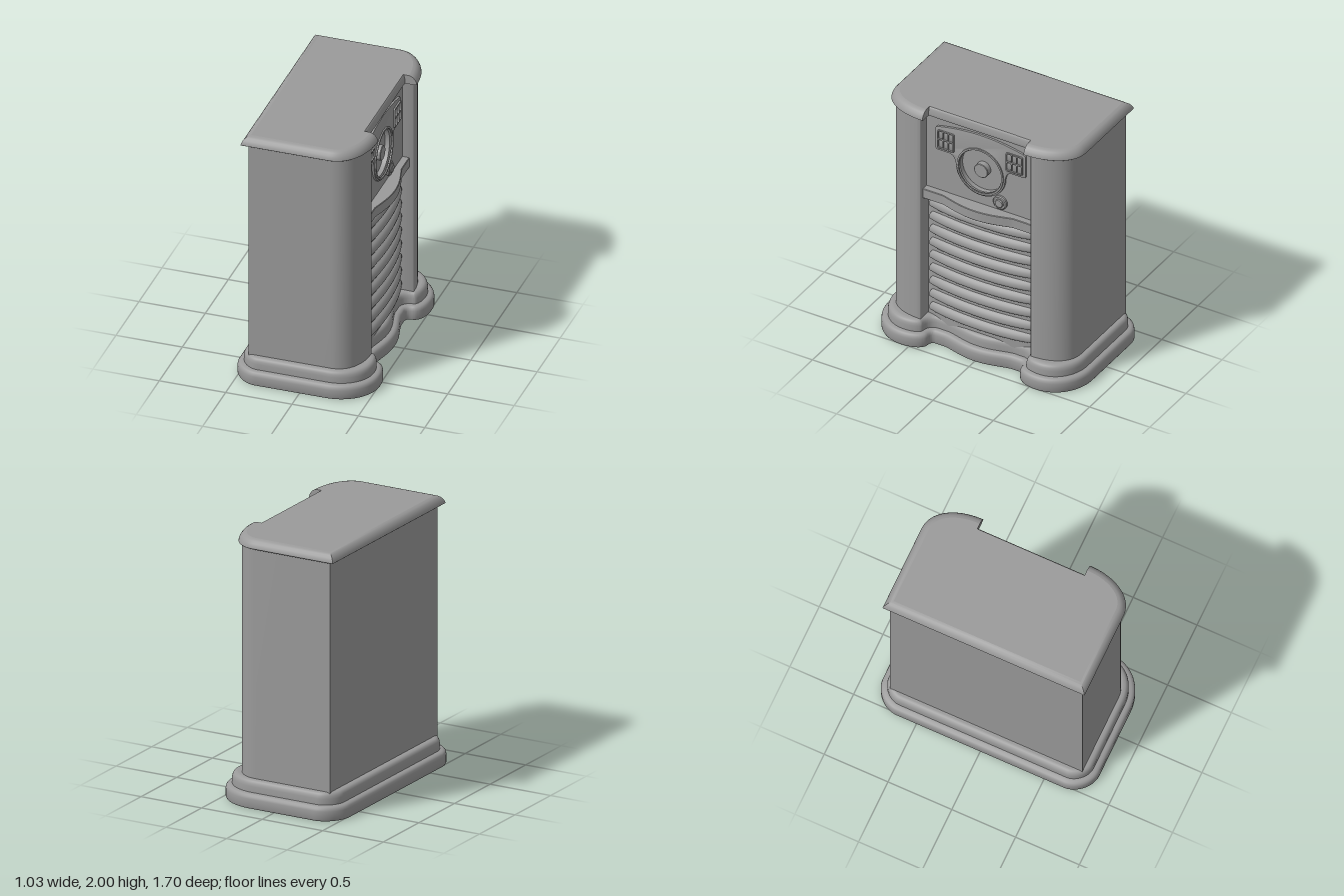
import * as THREE from 'three';
import { mergeGeometries, toCreasedNormals } from 'three/addons/utils/BufferGeometryUtils.js';

const material = new THREE.MeshStandardMaterial({ color: 0x9a9a9a });

function add(parent, name, geometry, x = 0, y = 0, z = 0) {
  const mesh = new THREE.Mesh(geometry, material);
  mesh.name = name;
  mesh.position.set(x, y, z);
  parent.add(mesh);
}

// Sampled path joined to its mirror image
function mirrored(path, flip) {
  const half = path.getPoints(20).filter((p, i, all) => i === 0 || p.distanceTo(all[i - 1]) > 1e-5);
  return half.concat(half.slice(1, -1).reverse().map(flip));
}

// Floor outline drawn from front centre to back centre, mirrored across z = 0
function plan(draw) {
  const path = new THREE.Path();
  draw(path);
  return mirrored(path, p => new THREE.Vector2(p.x, -p.y));
}

// Mitred outline offset; positive grows the outline
function offset(points, d, adjust) {
  const n = points.length;
  const normal = (a, b) => new THREE.Vector2(b.y - a.y, a.x - b.x).normalize();
  return points.map((p, i) => {
    const n1 = normal(points[(i + n - 1) % n], p);
    const n2 = normal(p, points[(i + 1) % n]);
    const q = n1.clone().add(n2).multiplyScalar(d / (1 + n1.dot(n2))).add(p);
    if (adjust) adjust(p, q);
    return q;
  });
}

// Stack of outlines, each layer being [height, offset], closed by flat caps
function loft(points, layers, adjust) {
  const n = points.length, rings = layers.map(([, d]) => offset(points, d, adjust));
  const at = (k, i) => [rings[k][i].x, layers[k][0], -rings[k][i].y];
  const sides = [], caps = [], last = rings.length - 1;
  for (let k = 0; k < last; k++) {
    for (let i = 0; i < n; i++) {
      const j = (i + 1) % n;
      sides.push(...at(k, i), ...at(k, j), ...at(k + 1, j), ...at(k, i), ...at(k + 1, j), ...at(k + 1, i));
    }
  }
  THREE.ShapeUtils.triangulateShape(rings[0], []).forEach(([a, b, c]) => caps.push(...at(0, a), ...at(0, c), ...at(0, b)));
  THREE.ShapeUtils.triangulateShape(rings[last], []).forEach(([a, b, c]) => caps.push(...at(last, a), ...at(last, b), ...at(last, c)));
  const build = positions => {
    const g = new THREE.BufferGeometry();
    return g.setAttribute('position', new THREE.Float32BufferAttribute(positions, 3));
  };
  const flat = build(caps);
  flat.computeVertexNormals();
  return mergeGeometries([toCreasedNormals(build(sides), 0.7), flat]);
}

function roundedRect(Type, cx, cy, w, h, r) {
  const s = new Type(), x = w / 2 - r, y = h / 2 - r;
  s.absarc(cx + x, cy + y, r, 0, Math.PI / 2);
  s.absarc(cx - x, cy + y, r, Math.PI / 2, Math.PI);
  s.absarc(cx - x, cy - y, r, Math.PI, Math.PI * 1.5);
  s.absarc(cx + x, cy - y, r, Math.PI * 1.5, Math.PI * 2);
  s.closePath();
  return s;
}

const circleHole = (x, y, r) => new THREE.Path().absarc(x, y, r, 0, Math.PI * 2, true);

function extrude(shape, depth, bevel = 0) {
  return toCreasedNormals(new THREE.ExtrudeGeometry(shape, {
    depth, curveSegments: 24, bevelEnabled: bevel > 0,
    bevelSize: bevel, bevelThickness: bevel, bevelOffset: -bevel, bevelSegments: 2,
  }), 0.6);
}

// Turned piece with its axis along z
function turned(profile) {
  const g = new THREE.LatheGeometry(profile.map(p => new THREE.Vector2(...p)), 40);
  return toCreasedNormals(g.rotateX(Math.PI / 2), 0.6);
}

function cabinet(group) {
  // Two-step plinth with a swelling front and a lobe under each column
  const basePlan = plan(p => {
    p.moveTo(0.43, 0);
    p.bezierCurveTo(0.43, 0.12, 0.39, 0.2, 0.38, 0.28);
    p.lineTo(0.38, 0.345);
    p.bezierCurveTo(0.38, 0.375, 0.395, 0.385, 0.425, 0.387);
    p.bezierCurveTo(0.475, 0.39, 0.515, 0.46, 0.515, 0.56);
    p.bezierCurveTo(0.515, 0.73, 0.37, 0.849, 0.2, 0.849);
    p.lineTo(-0.33, 0.849);
    p.bezierCurveTo(-0.43, 0.849, -0.52, 0.75, -0.52, 0.655);
    p.lineTo(-0.52, 0);
  });
  add(group, 'base', loft(basePlan, [
    [0, -0.014], [0.004, -0.005], [0.014, 0], [0.075, 0], [0.092, -0.004], [0.103, -0.013], [0.109, -0.026], [0.111, -0.046],
    [0.155, -0.046], [0.175, -0.05], [0.19, -0.058], [0.198, -0.07], [0.2, -0.085],
  ]));

  // Body with rounded front columns and a recessed front
  const bodyPlan = plan(p => {
    p.moveTo(0.26, 0);
    p.lineTo(0.26, 0.455);
    p.lineTo(0.403, 0.455);
    p.quadraticCurveTo(0.412, 0.456, 0.413, 0.466);
    p.bezierCurveTo(0.412, 0.63, 0.34, 0.754, 0.2, 0.754);
    p.lineTo(-0.415, 0.754);
    p.lineTo(-0.415, 0);
  });
  add(group, 'body', loft(bodyPlan, [[0.15, 0], [1.94, 0]]));

  // Top board with a rounded edge and a nearly upright notch in front
  const topPlan = plan(p => {
    p.moveTo(0.36, 0);
    p.lineTo(0.36, 0.42);
    p.lineTo(0.448, 0.42);
    p.bezierCurveTo(0.448, 0.63, 0.35, 0.792, 0.2, 0.792);
    p.lineTo(-0.46, 0.792);
    p.lineTo(-0.46, 0);
  });
  const steepNotch = (p, q) => {
    if (p.x > 0 && Math.abs(p.y) < 0.425) q.y = p.y;
    if (p.x > 0 && p.x < 0.37 && Math.abs(p.y) < 0.425) q.x = p.x + (q.x - p.x) * 0.25;
  };
  add(group, 'top', loft(topPlan, [
    [1.93, -0.008], [1.936, 0], [1.95, -0.003], [1.97, -0.013], [1.986, -0.027], [1.996, -0.043], [2, -0.06],
  ], steepNotch));

  // Shelf between panel and grille
  const shelfPlan = plan(p => {
    p.moveTo(0.435, 0);
    p.bezierCurveTo(0.435, 0.12, 0.4, 0.21, 0.38, 0.29);
    p.lineTo(0.38, 0.46);
    p.lineTo(0.25, 0.46);
    p.lineTo(0.25, 0);
  });
  add(group, 'shelf', loft(shelfPlan, [[1.22, -0.004], [1.224, 0], [1.296, 0], [1.3, -0.004]]));
}

function grille(group) {
  const wall = end => plan(p => {
    p.moveTo(0.35, 0);
    p.bezierCurveTo(0.35, 0.15, 0.335, 0.3, 0.305, end);
    p.lineTo(0.25, end);
    p.lineTo(0.25, 0);
  });
  add(group, 'grilleBack', loft(wall(0.455), [[0.15, 0], [1.23, 0]]));
  // Bowed louvres, fullest near the lower edge
  const louvre = loft(wall(0.4), [
    [0, 0], [0.002, 0.024], [0.009, 0.031], [0.022, 0.034], [0.04, 0.032], [0.055, 0.025], [0.066, 0.015], [0.075, 0.001],
  ]);
  for (let i = 0; i < 9; i++) add(group, 'louvre', louvre, 0, 0.24 + i * 0.111, 0);
}

function controls(group) {
  // Built facing z, then turned to face the open side
  const front = new THREE.Group();
  front.name = 'controlPanel';
  front.rotation.y = Math.PI / 2;
  front.position.x = -0.018;
  group.add(front);
  const dialY = 1.585;

  // Panel with the dial opening
  const panel = roundedRect(THREE.Shape, 0, 1.605, 0.91, 0.66, 0.001);
  panel.holes.push(circleHole(0, dialY, 0.178));
  add(front, 'panel', extrude(panel, 0.085), 0, 0, 0.26);

  // Raised plate: arched top, two ears and a round lower lobe
  const half = new THREE.Path();
  half.moveTo(0, 1.895);
  half.quadraticCurveTo(0.18, 1.893, 0.355, 1.85);
  half.quadraticCurveTo(0.375, 1.845, 0.375, 1.825);
  half.lineTo(0.375, 1.675);
  half.quadraticCurveTo(0.375, 1.65, 0.35, 1.65);
  half.lineTo(0.26, 1.65);
  half.quadraticCurveTo(0.218, 1.65, 0.205, dialY);
  half.absarc(0, dialY, 0.205, 0, -Math.PI / 2, true);
  const plate = new THREE.Shape(mirrored(half, p => new THREE.Vector2(-p.x, p.y)));
  plate.holes.push(circleHole(0, dialY, 0.178));
  add(front, 'plate', extrude(plate, 0.012, 0.004), 0, 0, 0.345);

  // Dial: rim, sunken face and centre hub
  const rim = new THREE.Shape().absarc(0, 0, 0.193, 0, Math.PI * 2);
  rim.holes.push(circleHole(0, 0, 0.178));
  add(front, 'dialRim', extrude(rim, 0.008, 0.003), 0, dialY, 0.36);
  add(front, 'dialFace', turned([[0, -0.05], [0.18, -0.05], [0.18, 0], [0, 0]]), 0, dialY, 0.31);
  add(front, 'dialHub', turned([[0, 0], [0.057, 0], [0.057, 0.042], [0.053, 0.046], [0, 0.046]]), 0, dialY, 0.31);

  // Tuning knob in its collar
  add(front, 'knobCollar', turned([[0, 0], [0.056, 0], [0.056, 0.014], [0.048, 0.02], [0, 0.02]]), 0.16, 1.37, 0.345);
  add(front, 'knob', turned([[0, 0], [0.034, 0], [0.034, 0.026], [0.028, 0.032], [0, 0.032]]), 0.16, 1.37, 0.345);

  // Push-button frames, three by two on each ear
  const button = extrude(roundedRect(THREE.Shape, 0, 0, 0.028, 0.056, 0.008), 0.006, 0.002);
  for (const side of [-1, 1]) {
    const frame = roundedRect(THREE.Shape, 0, 0, 0.136, 0.155, 0.008);
    const cx = side * 0.284, cy = 1.75;
    for (let c = -1; c <= 1; c++) {
      for (const r of [-0.037, 0.037]) {
        frame.holes.push(roundedRect(THREE.Path, c * 0.043, r, 0.037, 0.066, 0.009));
        add(front, 'pushButton', button, cx + c * 0.043, cy + r, 0.357);
      }
    }
    add(front, 'buttonFrame', extrude(frame, 0.016), cx, cy, 0.357);
  }
}

export function createModel() {
  const group = new THREE.Group();
  group.name = 'consoleRadio';
  cabinet(group);
  grille(group);
  controls(group);
  return group;
}
